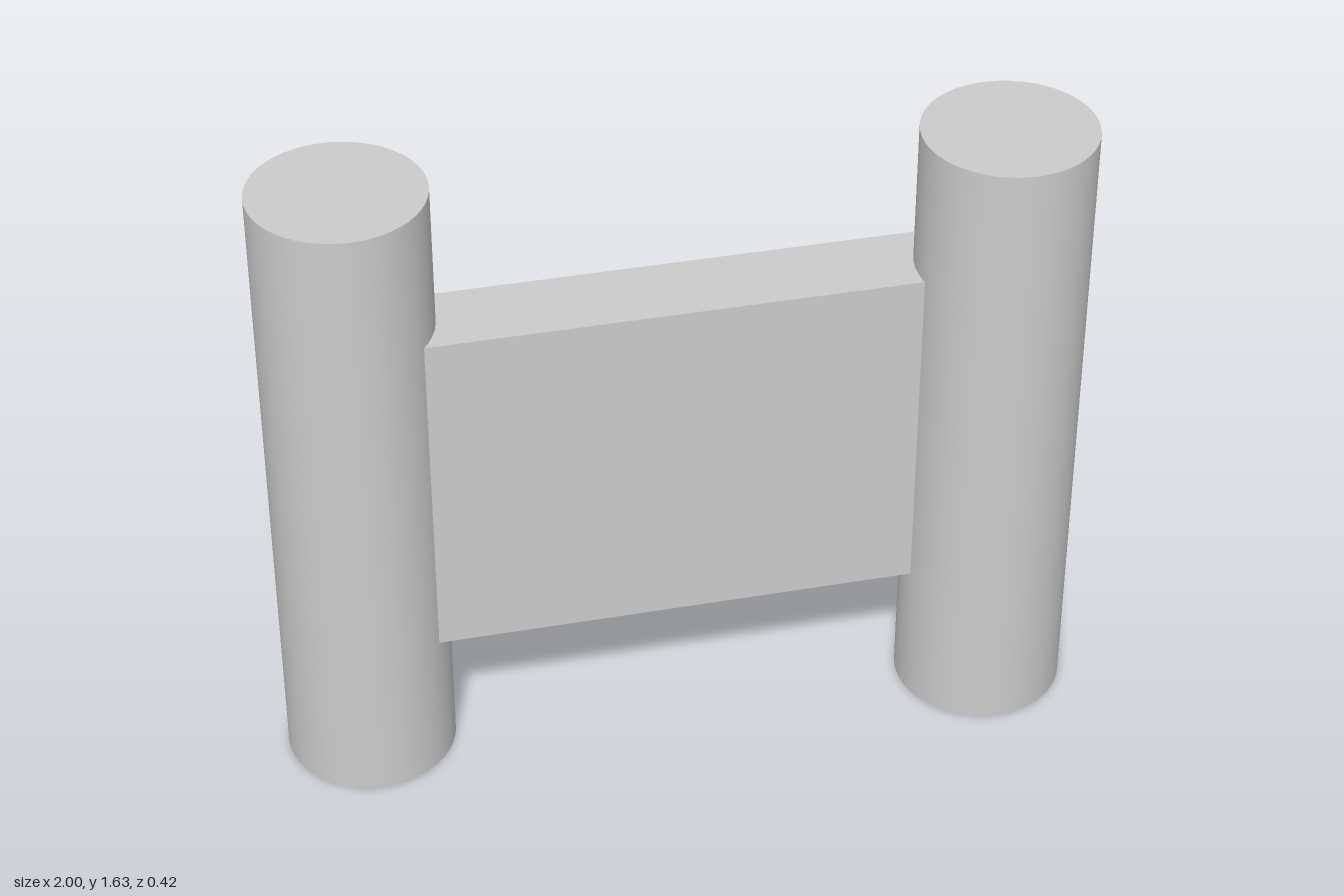
import * as THREE from 'three';

export function createModel() {
  const group = new THREE.Group();
  const material = new THREE.MeshStandardMaterial({ color: 0xcccccc });
  const height = 1.635, radius = 0.212;

  // Two upright round posts
  const postGeometry = new THREE.CylinderGeometry(radius, radius, height, 48);
  for (const [name, side] of [['leftPost', 1], ['rightPost', -1]]) {
    const post = new THREE.Mesh(postGeometry, material);
    post.name = name;
    post.position.set(side * (1 - radius), height / 2, 0);
    group.add(post);
  }

  // Slightly skewed panel, its ends sunk into the posts
  const panel = new THREE.Mesh(new THREE.BoxGeometry(1.5, 0.892, 0.213), material);
  panel.name = 'panel';
  panel.position.set(0, 0.819, -0.015);
  panel.rotation.y = 0.053;
  group.add(panel);

  return group;
}
